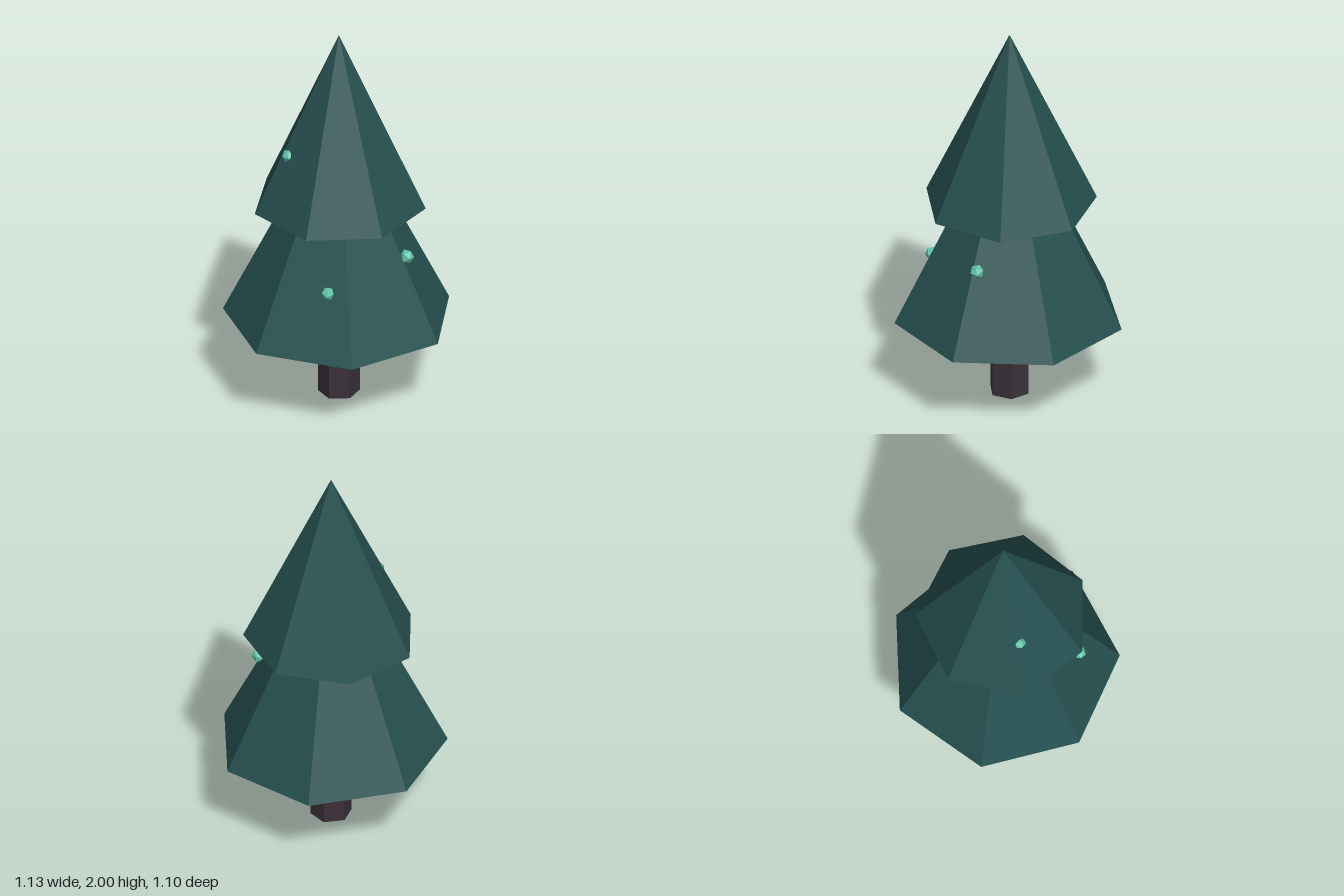
import * as THREE from 'three';

const flat = (name, color) => {
  const m = new THREE.MeshStandardMaterial({ color, flatShading: true });
  m.name = name;
  return m;
};

export function createModel() {
  const tree = new THREE.Group();
  tree.name = 'pineTree';
  const needles = flat('darkTealNeedles', 0x265050);
  const bark = flat('darkBark', 0x3a3038);
  const glow = flat('mintBuds', 0x62c4a8);
  const axisZ = 0.029; // trunk axis sits slightly forward of the bounding centre

  const add = (name, geometry, material, x, y, z) => {
    const mesh = new THREE.Mesh(geometry, material);
    mesh.name = name;
    mesh.position.set(x, y, z);
    tree.add(mesh);
    return mesh;
  };

  // Hexagonal trunk, ending inside the lower foliage
  const trunkHeight = 0.5;
  add('trunk', new THREE.CylinderGeometry(0.104, 0.104, trunkHeight, 6), bark, 0, trunkHeight / 2, axisZ);

  // Seven-sided foliage tiers: base height, apex height, radius, turn
  const tiers = [
    ['lowerFoliage', 0.425, 1.605, 0.579, Math.PI],
    ['upperFoliage', 1.06, 2, 0.436, -0.046],
  ];
  for (const [name, base, apex, radius, turn] of tiers) {
    const cone = new THREE.ConeGeometry(radius, apex - base, 7, 1, false, turn);
    add(name, cone, needles, 0, (base + apex) / 2, axisZ);
  }

  // Small faceted buds half sunk in the foliage: x, y, z, radius
  const buds = [
    [0.19, 0.85, 0.36, 0.037],
    [-0.25, 0.75, 0.325, 0.034],
    [-0.265, 1.375, -0.02, 0.034],
    [0.11, 1.05, -0.2, 0.036],
  ];
  buds.forEach(([x, y, z, r], i) => {
    const bud = add('bud' + (i + 1), new THREE.IcosahedronGeometry(r, 0), glow, x, y, z);
    bud.rotation.set(0.5 + i, 0.3 * i, 0.2);
  });

  return tree;
}
